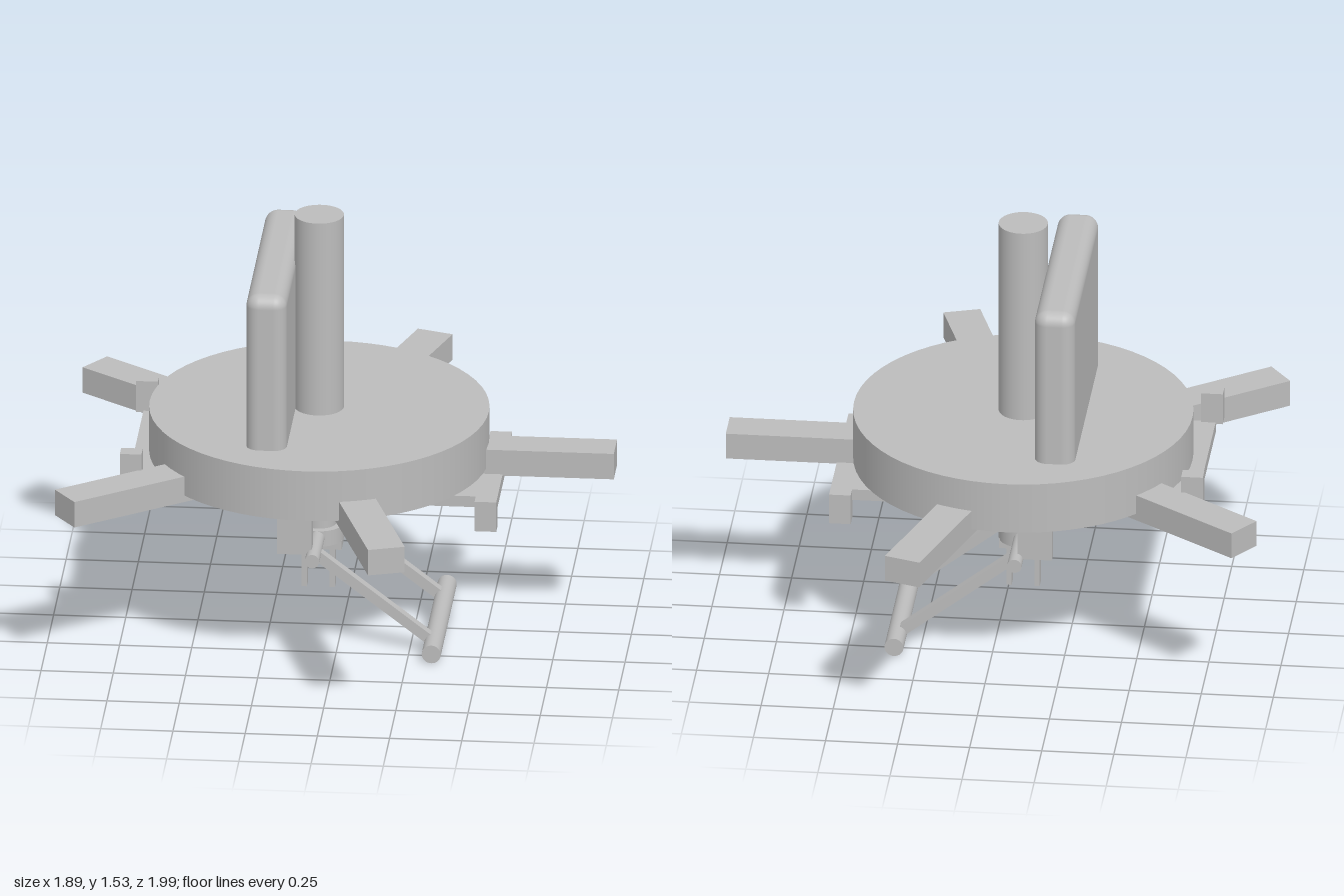
import * as THREE from 'three';
import { RoundedBoxGeometry } from 'three/addons/geometries/RoundedBoxGeometry.js';

export function createModel() {
  const model = new THREE.Group();
  const grey = new THREE.MeshStandardMaterial({ color: 0xbcbcbc });
  grey.name = 'plainGrey';
  const AXIS = -0.08; // x of the main vertical axis

  function add(name, geometry, x, y, z, parent = model) {
    const mesh = new THREE.Mesh(geometry, grey);
    mesh.name = name;
    mesh.position.set(x, y, z);
    parent.add(mesh);
    return mesh;
  }
  // Box given by its limits on each axis
  function box(name, x0, x1, y0, y1, z0, z1, parent) {
    return add(name, new THREE.BoxGeometry(x1 - x0, y1 - y0, z1 - z0),
      (x0 + x1) / 2, (y0 + y1) / 2, (z0 + z1) / 2, parent);
  }
  // Upright cylinder on the main axis
  function disc(name, r, y0, y1) {
    return add(name, new THREE.CylinderGeometry(r, r, y1 - y0, 64), AXIS, (y0 + y1) / 2, 0);
  }
  // Round bar lying along z
  function bar(name, r, halfLength, x, y) {
    const g = new THREE.CylinderGeometry(r, r, halfLength * 2, 32).rotateX(Math.PI / 2);
    return add(name, g, x, y, 0);
  }

  // Main body
  disc('mainDisc', 0.587, 0.63, 0.815);
  disc('hubDisc', 0.355, 0.577, 0.632);
  disc('mast', 0.085, 0.81, 1.532);
  disc('lowerShaft', 0.06, 0.32, 0.58);
  disc('collar', 0.085, 0.325, 0.382);

  // Upright rounded slab behind the mast
  add('uprightSlab', new RoundedBoxGeometry(0.14, 0.635, 0.83, 5, 0.045), -0.23, 1.0675, 0);

  // Five radial arms
  for (let i = 0; i < 5; i++) {
    const arm = new THREE.Group();
    arm.name = 'radialArm';
    arm.position.x = AXIS;
    arm.rotation.y = (i * Math.PI * 2) / 5;
    box('armBeam', 0.34, 1.025, 0.605, 0.7, -0.065, 0.065, arm);
    model.add(arm);
  }

  // Side panels
  box('leftPanel', 0.24, 0.56, 0.57, 0.61, -0.27, 0.27);
  box('rightPanel', -0.715, -0.33, 0.61, 0.65, -0.31, 0.31);

  // Parts that come in front and back pairs
  for (const s of [-1, 1]) {
    const pair = (name, x0, x1, y0, y1, za, zb) =>
      box(name, x0, x1, y0, y1, Math.min(s * za, s * zb), Math.max(s * za, s * zb));
    pair('leftPanelBlock', 0.485, 0.56, 0.5, 0.61, 0.26, 0.318);
    pair('rightPanelBlock', -0.74, -0.665, 0.645, 0.76, 0.3, 0.355);
    pair('hangerPlate', -0.205, -0.085, 0.36, 0.58, 0.203, 0.245);
    // Slanted lever links
    const link = add('leverLink', new THREE.BoxGeometry(0.525, 0.036, 0.036),
      0.1275, 0.195, s * 0.2);
    link.rotation.z = Math.atan2(-0.32, 0.415);
  }

  // Lever pivot and end bar
  bar('pivotBar', 0.025, 0.295, AXIS, 0.356);
  bar('leverEndBar', 0.033, 0.318, 0.335, 0.034);

  // Gripper below the collar
  box('gripperBase', -0.16, 0, 0.295, 0.33, -0.035, 0.035);
  for (const x of [-0.13, -0.033]) {
    box('gripperFinger', x - 0.009, x + 0.009, 0.15, 0.3, -0.024, 0.024);
  }
  return model;
}
